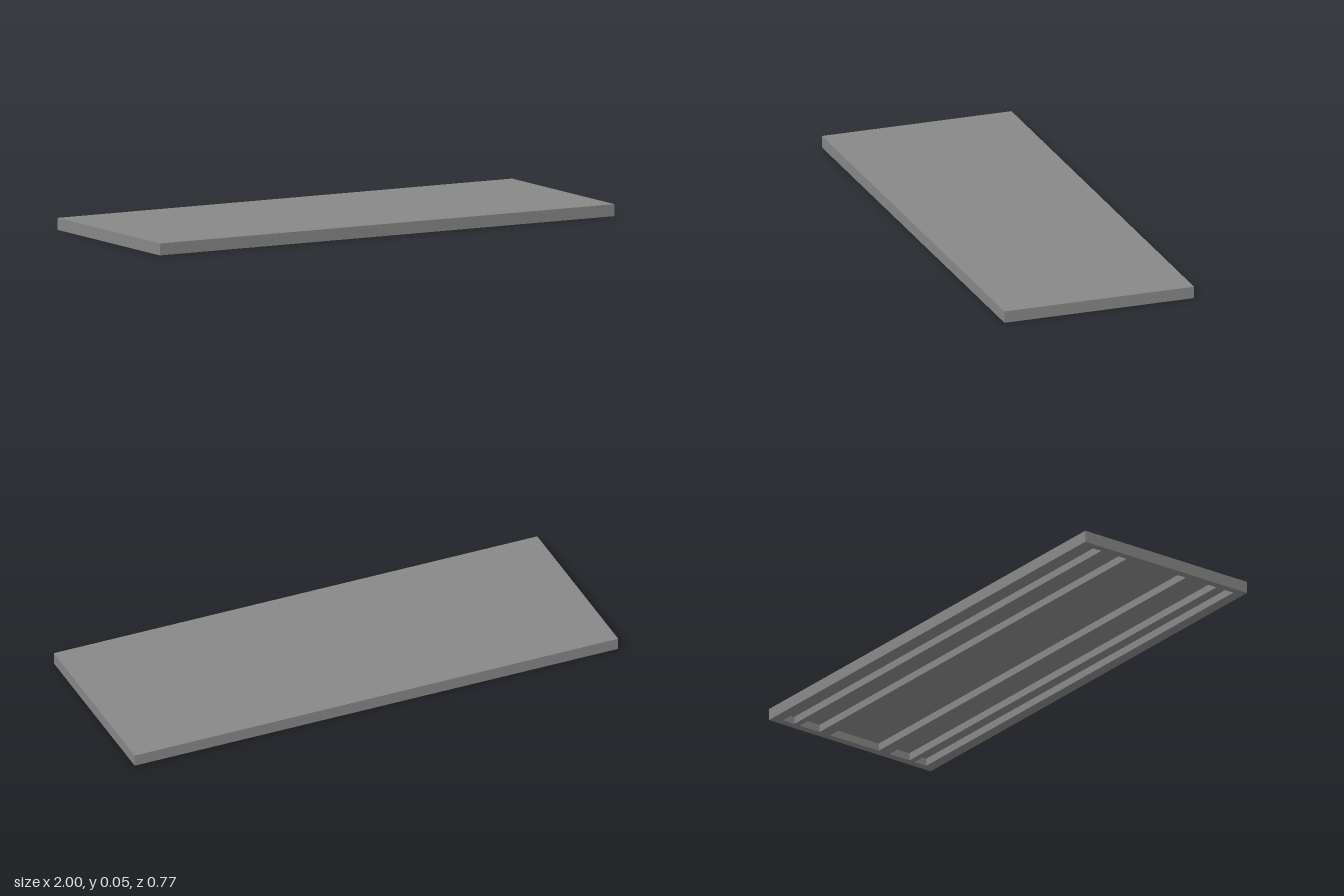
import * as THREE from 'three';

const HALF_X = 1, HALF_Z = 0.383, HEIGHT = 0.046;
const DEPTH = 0.03;   // depth of the pockets in the underside
const END_RIM = 0.03; // rim left at the two short ends

// Rectangle outline in plan, x across and z along the shape's y
function rectangle(PathType, x, z0, z1) {
  const p = new PathType();
  p.moveTo(-x, z0);
  p.lineTo(x, z0);
  p.lineTo(x, z1);
  p.lineTo(-x, z1);
  p.closePath();
  return p;
}

export function createModel() {
  const group = new THREE.Group();
  group.name = 'shelfBoard';
  const material = new THREE.MeshStandardMaterial({ color: 0x888888 });

  // Closed top panel
  const panel = new THREE.Mesh(
    new THREE.BoxGeometry(HALF_X * 2, HEIGHT - DEPTH, HALF_Z * 2), material);
  panel.position.y = (HEIGHT + DEPTH) / 2;
  panel.name = 'topPanel';
  group.add(panel);

  // Rim and lengthwise ribs: a slab pierced by five long pockets
  const outline = rectangle(THREE.Shape, HALF_X, -HALF_Z, HALF_Z);
  const pockets = [[-0.115, 0.115]];
  for (const [a, b] of [[0.165, 0.26], [0.285, 0.34]]) pockets.push([a, b], [-b, -a]);
  for (const [z0, z1] of pockets) {
    outline.holes.push(rectangle(THREE.Path, HALF_X - END_RIM, z0, z1));
  }
  const frameGeometry = new THREE.ExtrudeGeometry(outline, { depth: DEPTH, bevelEnabled: false });
  frameGeometry.rotateX(Math.PI / 2).translate(0, DEPTH, 0);
  const frame = new THREE.Mesh(frameGeometry, material);
  frame.name = 'undersideRibs';
  group.add(frame);

  return group;
}
